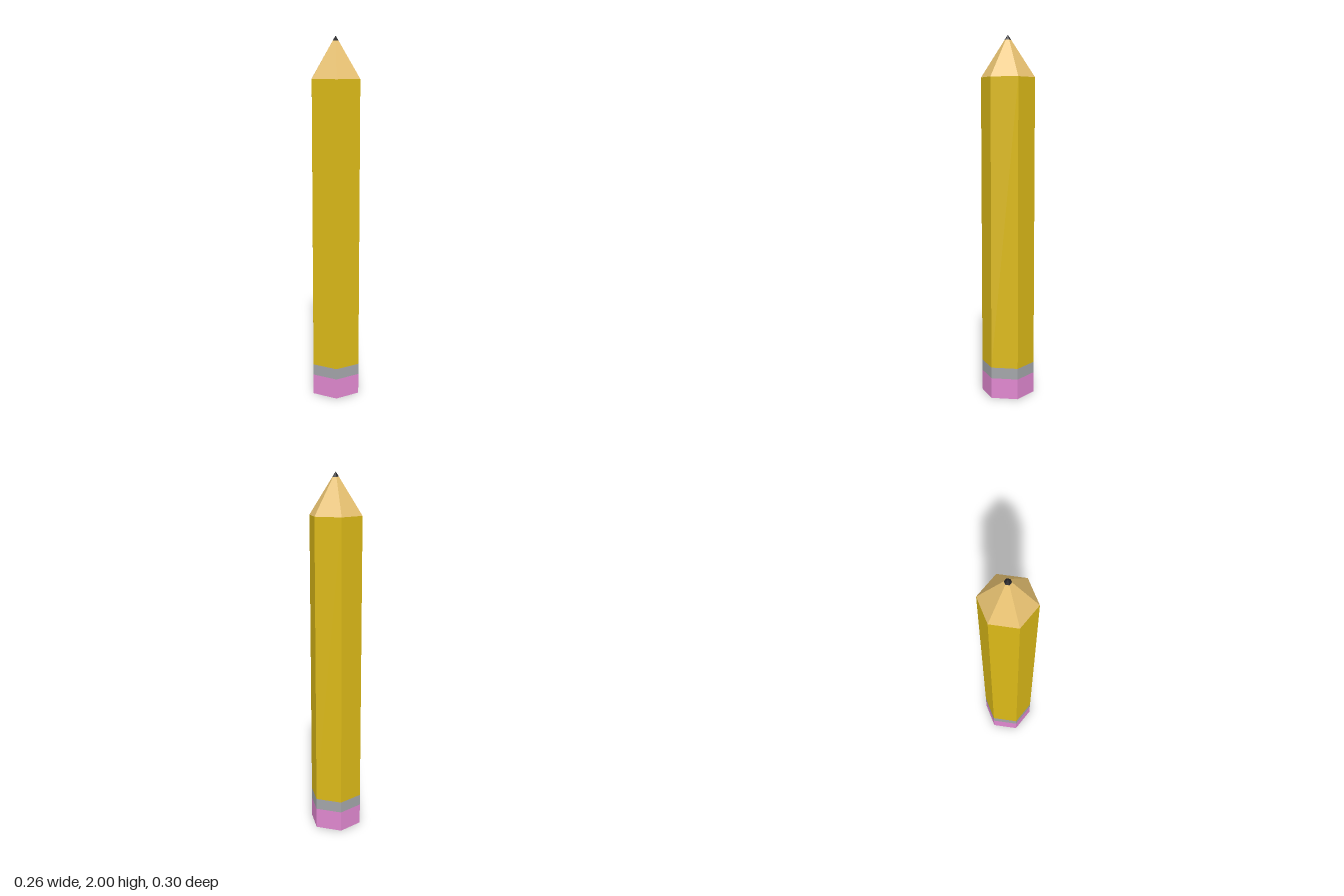
import * as THREE from 'three';

const RADIUS = 0.148;
const TIP_RADIUS = 0.018;

export function createModel() {
  const pencil = new THREE.Group();
  pencil.name = 'pencil';

  // Six-sided section between two heights, with a ridge facing the front
  function section(name, color, y0, y1, r0, r1, openEnded = true) {
    const geometry = new THREE.CylinderGeometry(r1, r0, y1 - y0, 6, 1, openEnded);
    const material = new THREE.MeshStandardMaterial({ color, flatShading: true });
    const mesh = new THREE.Mesh(geometry, material);
    mesh.name = name;
    mesh.position.y = (y0 + y1) / 2;
    pencil.add(mesh);
  }

  // Eraser end, closed underneath
  section('eraser', 0xe088d0, 0, 0.115, RADIUS, RADIUS, false);
  // Metal band
  section('ferrule', 0xa4a6aa, 0.115, 0.177, RADIUS, RADIUS);
  // Painted shaft
  section('shaft', 0xdcba18, 0.177, 1.775, RADIUS, RADIUS);
  // Sharpened wood and lead point share one slope
  section('sharpenedWood', 0xe6c070, 1.775, 1.973, RADIUS, TIP_RADIUS);
  section('leadTip', 0x222226, 1.973, 2, TIP_RADIUS, 0);

  return pencil;
}
